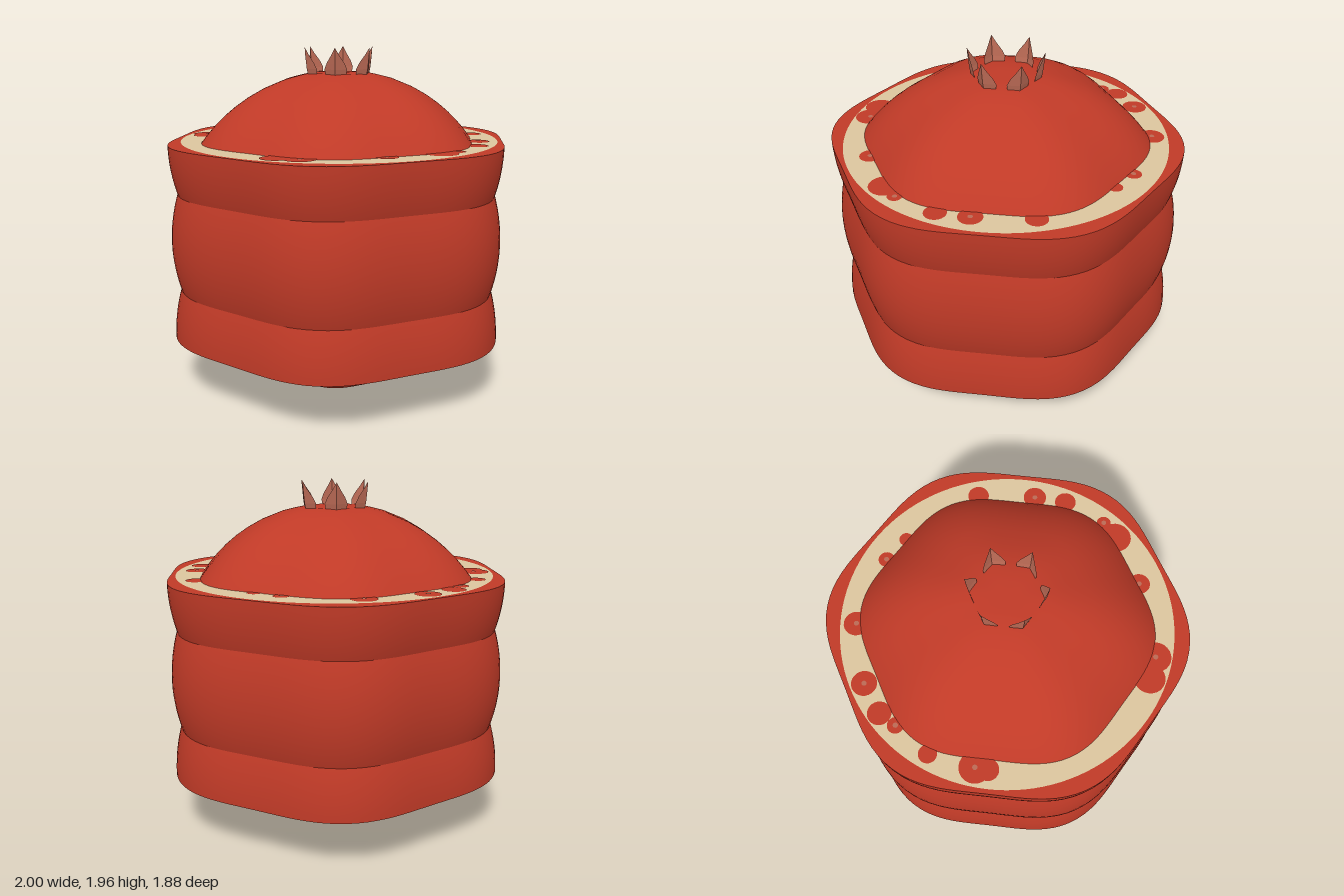
import * as THREE from 'three';
import { mergeVertices } from 'three/addons/utils/BufferGeometryUtils.js';

const mat = (name, color, side = THREE.FrontSide) => {
  const m = new THREE.MeshStandardMaterial({ color, side });
  m.name = name;
  return m;
};

// Six soft lobes around the fruit, with corners on the x axis
const lobe = (a) => 0.97 + 0.03 * Math.cos(6 * a);

// Lathe whose radius follows the six lobes
function lobedLathe(points) {
  let g = new THREE.LatheGeometry(points, 120);
  const p = g.attributes.position;
  for (let i = 0; i < p.count; i++) {
    const k = lobe(Math.atan2(p.getZ(i), p.getX(i)));
    p.setX(i, p.getX(i) * k);
    p.setZ(i, p.getZ(i) * k);
  }
  g.deleteAttribute('uv');
  g.deleteAttribute('normal');
  g = mergeVertices(g, 1e-5);
  g.computeVertexNormals();
  return g;
}

const skinRadius = (y) => Math.sqrt(Math.max(0, 1 - (y / 0.95) ** 2));

// Pointed crown leaf, folded along its middle
function leafGeometry() {
  const rows = [ // height, half width, radius
    [0, 0.055, 0.19], [0.045, 0.064, 0.2], [0.08, 0.05, 0.204],
    [0.125, 0.022, 0.209], [0.165, 0, 0.212],
  ];
  const pos = [];
  const at = ([y, w, r], s) => [r - Math.abs(s) * w * 0.55, y, s * w];
  for (let i = 0; i < rows.length - 1; i++) {
    for (const [s, t] of [[-1, 0], [0, 1]]) {
      const a = at(rows[i], s), b = at(rows[i], t);
      const c = at(rows[i + 1], s), d = at(rows[i + 1], t);
      pos.push(...a, ...c, ...b);
      if (rows[i + 1][1] > 0) pos.push(...b, ...c, ...d);
    }
  }
  const g = new THREE.BufferGeometry();
  g.setAttribute('position', new THREE.Float32BufferAttribute(pos, 3));
  g.computeVertexNormals();
  return g;
}

// Seeds on the cut face: x, z, radius
const SEEDS = [
  [-0.09, -0.78, 0.045], [0.075, -0.77, 0.04], [-0.49, -0.665, 0.07], [0.545, -0.61, 0.06],
  [-0.73, -0.41, 0.07], [-0.81, -0.24, 0.065], [-0.81, -0.13, 0.045], [-0.83, 0.1, 0.05],
  [-0.74, 0.34, 0.085], [-0.71, 0.4, 0.06], [0.73, -0.34, 0.065], [0.81, -0.18, 0.06],
  [0.83, 0.075, 0.04], [0.79, 0.18, 0.09], [0.63, 0.45, 0.06], [0.2, 0.8, 0.085], [0.32, 0.76, 0.085],
];

export function createModel() {
  const red = mat('pomegranate red', 0xc03a27);
  const cream = mat('pith cream', 0xdcc69e);
  const pink = mat('dusty pink', 0xbb6a55, THREE.DoubleSide);

  const model = new THREE.Group();
  model.name = 'pomegranate';
  const add = (parent, name, geo, material) => {
    const m = new THREE.Mesh(geo, material);
    m.name = name;
    parent.add(m);
    return m;
  };

  // Whole fruit, flattened at the base
  const profile = [[0, 0], [0.14, 0], [0.27, 0.005], [0.4, 0.033], [0.6, 0.135]]
    .map(([x, y]) => new THREE.Vector2(x, y));
  for (let i = 0; i <= 30; i++) {
    const y = -0.6 + i * 0.05;
    profile.push(new THREE.Vector2(skinRadius(y), 0.88 + y));
  }
  profile.splice(5, 1, new THREE.Vector2(0.715, 0.22)); // ease base into the side
  for (const [x, y] of [[0.24, 1.8], [0.17, 1.815], [0.08, 1.817], [0, 1.817]]) {
    profile.push(new THREE.Vector2(x, y));
  }
  // keep the side points in rising order
  const ordered = profile.filter((p, i) => i === 0 || p.y >= profile[i - 1].y);
  add(model, 'wholeFruit', lobedLathe(ordered), red);

  // Cut half: rounded skin, rim, pith and seeds; the cut lies at y = 0
  const skinPoints = [];
  for (let i = 0; i <= 16; i++) {
    const y = -0.48 + i * 0.03;
    skinPoints.push(new THREE.Vector2(skinRadius(y), y));
  }
  const skin = lobedLathe(skinPoints);

  const outline = [];
  for (let i = 0; i < 120; i++) {
    const a = (i / 120) * Math.PI * 2;
    outline.push(new THREE.Vector2(Math.cos(a) * lobe(a), Math.sin(a) * lobe(a)));
  }
  const rimShape = new THREE.Shape(outline);
  rimShape.holes.push(new THREE.Path().absarc(0, 0, 0.915, 0, Math.PI * 2, true));
  const rim = new THREE.ShapeGeometry(rimShape, 60).rotateX(-Math.PI / 2);
  const pith = new THREE.RingGeometry(0.65, 0.915, 120).rotateX(-Math.PI / 2);
  const disc = new THREE.CircleGeometry(1, 24).rotateX(-Math.PI / 2);

  function addHalf(name, y, turn) {
    const half = new THREE.Group();
    half.name = name;
    add(half, 'skin', skin, red);
    add(half, 'rim', rim, red);
    add(half, 'pith', pith, cream);
    SEEDS.forEach(([x, z, r], i) => {
      const seed = add(half, 'seed', disc, red);
      seed.position.set(x, 0.002 + i * 0.0001, z);
      seed.scale.set(r, 1, r);
      if (i % 2 === 0) {
        const speck = add(half, 'seedSpeck', disc, pink);
        speck.position.set(x, 0.005, z);
        speck.scale.set(0.014, 1, 0.014);
      }
    });
    half.position.y = y;
    half.rotation.x = turn;
    model.add(half);
  }
  addHalf('upperHalf', 1.435, 0);
  addHalf('lowerHalf', 0.32, Math.PI);

  // Crown of six leaves
  const crown = new THREE.Group();
  crown.name = 'crown';
  const leaf = leafGeometry();
  for (let i = 0; i < 6; i++) {
    add(crown, 'crownLeaf', leaf, pink).rotation.y = (i * Math.PI) / 3;
  }
  crown.position.y = 1.795;
  model.add(crown);

  return model;
}
